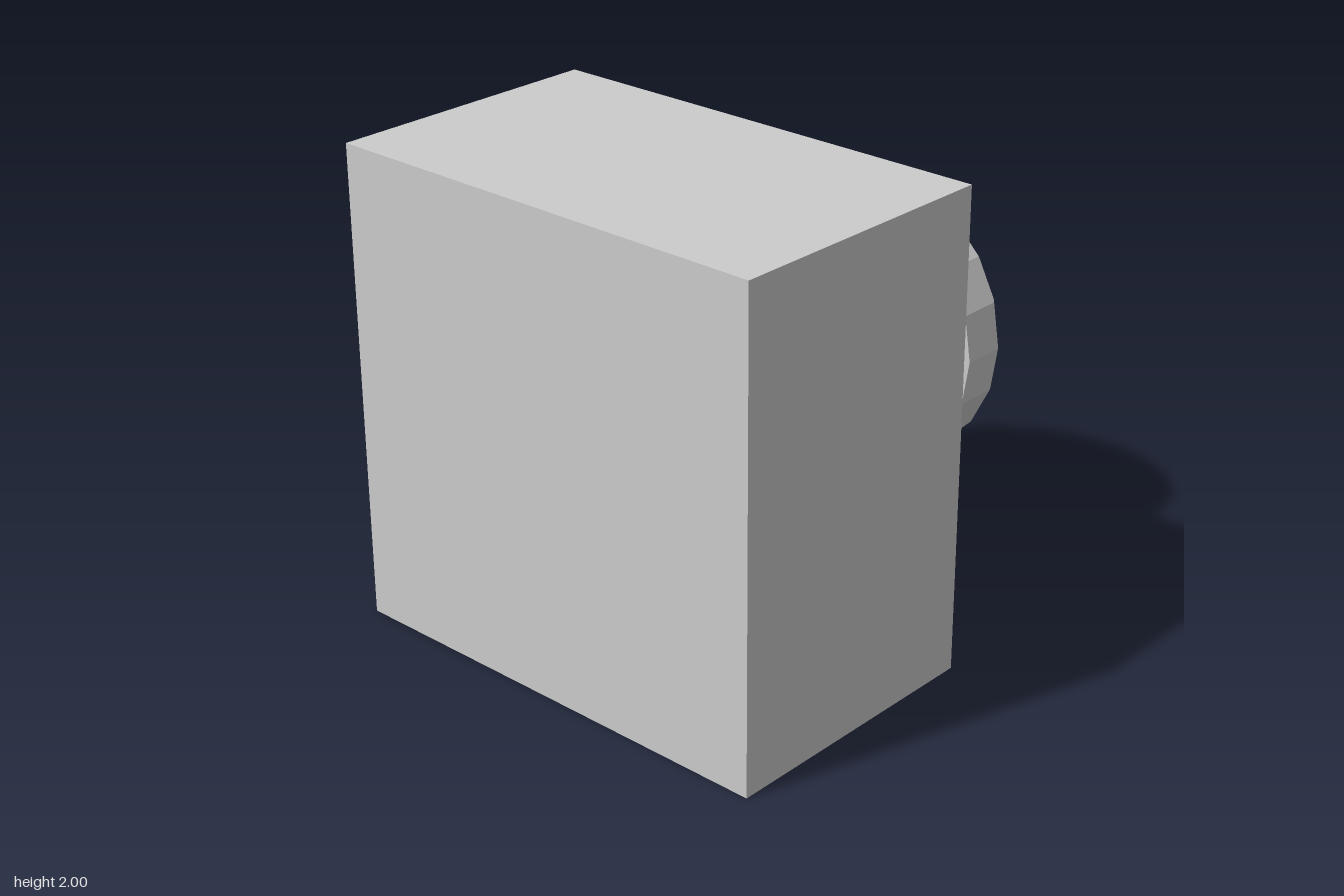
import * as THREE from 'three';

const grey = new THREE.MeshStandardMaterial({ color: 0xcccccc, flatShading: true });
const gold = new THREE.MeshStandardMaterial({ color: 0xd4a72c, flatShading: true });
const SIDES = 20, AXIS_Y = 1, STEM_Z = -0.51;

function add(parent, name, geometry, material, x = 0, y = 0, z = 0) {
  const mesh = new THREE.Mesh(geometry, material);
  mesh.name = name;
  mesh.position.set(x, y, z);
  parent.add(mesh);
  return mesh;
}

// Hollow ring around the pipe axis, from depth d0 to d1 behind the origin
function pipeRing(parent, name, inner, outer, d0, d1, material = grey) {
  const profile = [[inner, d0], [outer, d0], [outer, d1], [inner, d1], [inner, d0]]
    .map(([r, d]) => new THREE.Vector2(r, d));
  const geometry = new THREE.LatheGeometry(profile, SIDES).rotateX(-Math.PI / 2);
  return add(parent, name, geometry, material, 0, AXIS_Y, 0);
}

// Circle of hexagonal bolt heads, all turned the same way
function boltCircle(parent, name, count, radius, d0, d1) {
  const group = new THREE.Group();
  group.name = name;
  const geometry = new THREE.CylinderGeometry(0.04, 0.04, d1 - d0, 6)
    .rotateY(Math.PI / 2).rotateX(Math.PI / 2);
  for (let i = 0; i < count; i++) {
    const a = (i / count) * Math.PI * 2;
    add(group, 'bolt', geometry, grey,
      Math.cos(a) * radius, AXIS_Y + Math.sin(a) * radius, -(d0 + d1) / 2);
  }
  parent.add(group);
}

export function createModel() {
  const model = new THREE.Group();
  model.name = 'wallValve';

  // Wall block
  add(model, 'wallBlock', new THREE.BoxGeometry(2, 2, 1.2), grey, 0, 1, 0.4);

  // Pipe body, from the wall outwards
  pipeRing(model, 'wallFlange', 0.2, 0.76, 0.2, 0.28);
  pipeRing(model, 'neck', 0.2, 0.42, 0.28, 0.76);
  pipeRing(model, 'valveBody', 0.4, 0.5, 0.32, 0.7);
  pipeRing(model, 'band', 0.45, 0.52, 0.46, 0.58, gold);
  pipeRing(model, 'couplingRing', 0.42, 0.62, 0.76, 0.95);
  pipeRing(model, 'couplingLip', 0.42, 0.58, 0.95, 1.0);
  // Floor of the coupling socket around the bore
  pipeRing(model, 'socketFloor', 0.2, 0.45, 0.74, 0.762);

  boltCircle(model, 'wallFlangeBolts', 12, 0.68, 0.28, 0.34);
  boltCircle(model, 'couplingBolts', 8, 0.52, 0.72, 0.76);

  // Stem on top of the body
  const stem = new THREE.Group();
  stem.name = 'stemAssembly';
  stem.position.z = STEM_Z;
  const disc = (name, r, y0, y1) =>
    add(stem, name, new THREE.CylinderGeometry(r, r, y1 - y0, 16), grey, 0, (y0 + y1) / 2, 0);
  disc('stemBase', 0.14, 1.46, 1.525);
  disc('stemCollar', 0.09, 1.525, 1.57);
  disc('stem', 0.028, 1.57, 1.73);
  disc('wheelHub', 0.043, 1.72, 1.78);

  // Handwheel with four diagonal spokes
  add(stem, 'wheelRim', new THREE.TorusGeometry(0.18, 0.019, 8, 24).rotateX(Math.PI / 2), gold, 0, 1.74, 0);
  for (let i = 0; i < 4; i++) {
    const a = Math.PI / 4 + (i * Math.PI) / 2;
    const spoke = add(stem, 'wheelSpoke', new THREE.BoxGeometry(0.15, 0.022, 0.022), gold,
      Math.cos(a) * 0.105, 1.74, Math.sin(a) * 0.105);
    spoke.rotation.y = -a;
  }
  model.add(stem);
  return model;
}
